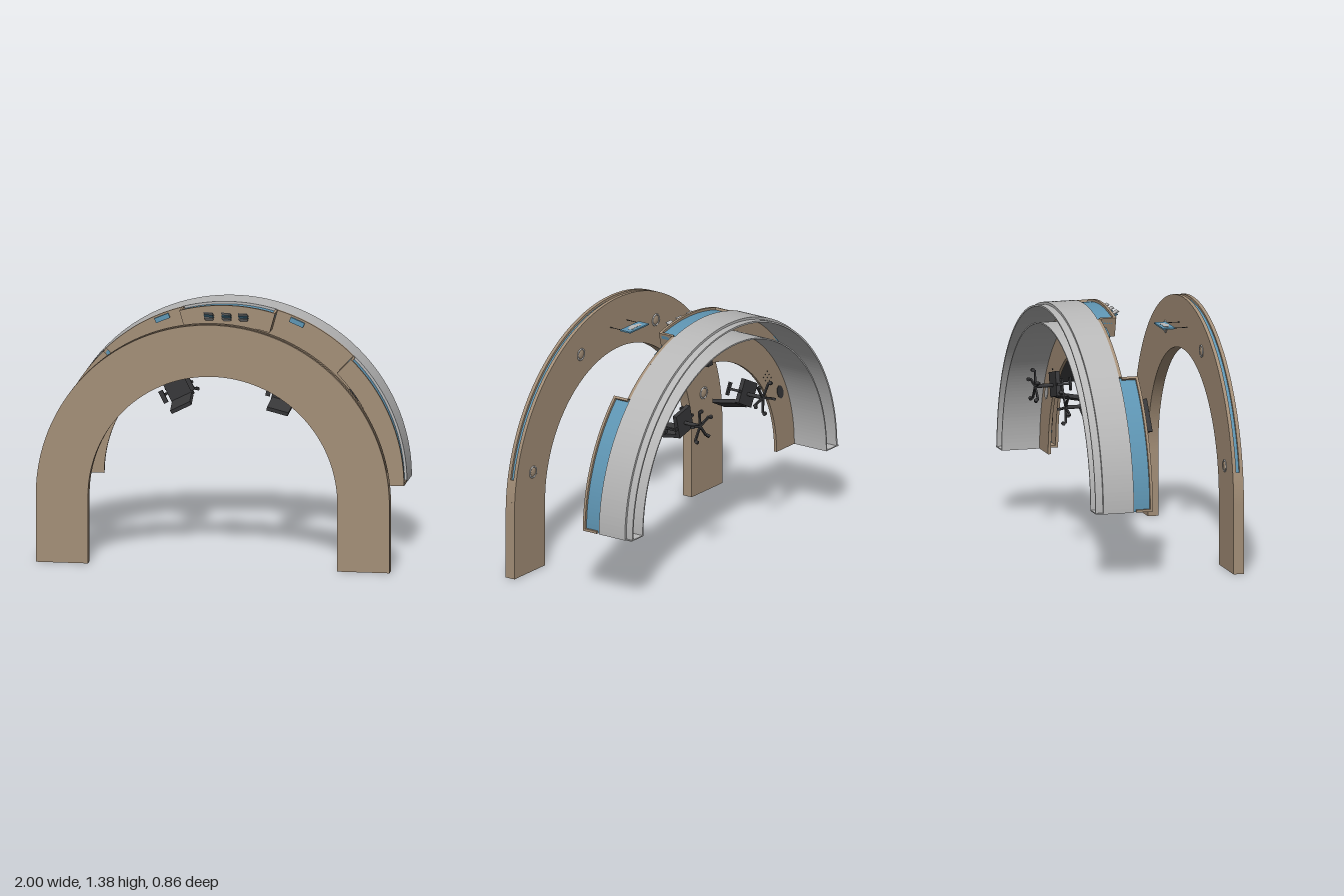
import * as THREE from 'three';

const mat = (name, color) => Object.assign(new THREE.MeshStandardMaterial({ color }), { name });
const D = Math.PI / 180;
const CY = 0.385; // height of the arc centre

export function createModel() {
  const wood = mat('wood', 0xa48f78);
  const blue = mat('blue panel', 0x5f96b4);
  const grey = mat('light grey', 0xb8b8b8);
  grey.side = THREE.DoubleSide;
  const dark = mat('charcoal', 0x38383a);

  const model = new THREE.Group();
  const arc = new THREE.Group(); // everything laid out around the arc centre
  arc.name = 'receptionDesk';
  arc.position.y = CY;
  model.add(arc);

  const add = (parent, name, geo, m, x = 0, y = 0, z = 0) => {
    const mesh = new THREE.Mesh(geo, m);
    mesh.name = name;
    mesh.position.set(x, y, z);
    parent.add(mesh);
    return mesh;
  };
  const box = (parent, name, m, w, h, d, x, y, z) =>
    add(parent, name, new THREE.BoxGeometry(w, h, d), m, x, y, z);
  const extrude = (shape, depth, curveSegments = 64) =>
    new THREE.ExtrudeGeometry(shape, { depth, bevelEnabled: false, curveSegments });

  // Curved slab between two radii, two angles (degrees) and two depths
  const ring = (name, m, r0, r1, z0, z1, a0 = 0, a1 = 180) => {
    const s = new THREE.Shape();
    s.absarc(0, 0, r1, a0 * D, a1 * D, false);
    s.absarc(0, 0, r0, a1 * D, a0 * D, true);
    return add(arc, name, extrude(s, z1 - z0, Math.max(6, Math.ceil((a1 - a0) / 2.8))), m, 0, 0, z0);
  };
  // Group placed on the arc: local x runs outward, local y along the arc
  const polar = (name, r, deg, z) => {
    const g = new THREE.Group();
    g.name = name;
    g.position.set(r * Math.cos(deg * D), r * Math.sin(deg * D), z);
    g.rotation.z = deg * D;
    arc.add(g);
    return g;
  };

  // Canopy: two arched boards with a blue strip set into the rim between them
  const arch = new THREE.Shape();
  arch.moveTo(1, -CY);
  arch.lineTo(1, 0);
  arch.absarc(0, 0, 1, 0, Math.PI, false);
  arch.lineTo(-1, -CY);
  arch.lineTo(-0.705, -CY);
  arch.lineTo(-0.705, 0);
  arch.absarc(0, 0, 0.705, Math.PI, 0, true);
  arch.lineTo(0.705, -CY);
  add(arc, 'canopyFrontBoard', extrude(arch, 0.02), wood, 0, 0, 0.41);
  add(arc, 'canopyBackBoard', extrude(arch, 0.02), wood, 0, 0, 0.37);
  ring('canopyCore', wood, 0.705, 0.972, 0.39, 0.41);
  ring('canopyStrip', blue, 0.972, 0.986, 0.39, 0.41, 11, 169);
  for (const s of [1, -1]) {
    box(arc, 'canopyLegCore', wood, 0.295, CY, 0.02, s * 0.8525, -CY / 2, 0.4);
    ring('canopyRimEnd', wood, 0.972, 1, 0.39, 0.41, s > 0 ? 0 : 169, s > 0 ? 11 : 180);
  }

  // Ceiling lights
  for (const a of [13.7, 64.8, 115.2, 166.3]) {
    const g = polar('ceilingLight', 0.845, a, 0.37);
    add(g, 'lightRim', new THREE.TorusGeometry(0.031, 0.005, 8, 28), grey);
    const lens = add(g, 'lightLens', new THREE.SphereGeometry(0.027, 20, 10), wood);
    lens.scale.z = 0.25;
  }

  // Hanging sign with a cloud on both faces
  box(arc, 'signPlate', blue, 0.18, 0.008, 0.07, 0, 0.845, 0.26);
  for (const s of [1, -1]) {
    const rod = add(arc, 'signRod', new THREE.CylinderGeometry(0.002, 0.002, 0.14, 6), dark, s * 0.078, 0.845, 0.3);
    rod.rotation.x = Math.PI / 2;
    for (const [x, z, r] of [[-0.035, 0.258, 0.016], [0, 0.265, 0.021], [0.034, 0.258, 0.017]]) {
      const puff = add(arc, 'signCloud', new THREE.CylinderGeometry(r, r, 0.002, 18), grey, x, 0.845 + s * 0.0045, z);
      puff.scale.x = 1.3;
    }
  }

  // Desk top and the open channel behind it
  ring('deskTop', wood, 0.71, 0.97, -0.21, -0.193);
  ring('deskRimRight', wood, 0.97, 1, -0.21, -0.193, 45.6, 74.3);
  ring('deskRimLeft', wood, 0.97, 1, -0.21, -0.193, 105.7, 134.4);
  ring('shellOuterWall', grey, 0.985, 1, -0.388, -0.21);
  ring('shellPlinth', grey, 0.976, 0.986, -0.43, -0.21);
  ring('shellInnerWall', grey, 0.88, 0.888, -0.43, -0.21);
  for (const s of [1, -1])
    box(arc, 'shellEnd', grey, 0.115, 0.006, 0.22, s * 0.9375, 0.003, -0.32);

  // Raised counters: cap, blue outer face and end walls
  for (const [a0, a1] of [[0, 45.6], [74.3, 105.7], [134.4, 180]]) {
    ring('counterCap', wood, 0.885, 1, -0.115, -0.1, a0, a1);
    ring('counterFace', blue, 0.965, 0.986, -0.21, -0.115, a0, a1);
    ring('counterEnd', wood, 0.885, 1, -0.195, -0.115, a0, a0 + 0.8);
    ring('counterEnd', wood, 0.885, 1, -0.195, -0.115, a1 - 0.8, a1);
  }

  // Leaflet holders on the middle counter
  for (const x of [-0.1, 0, 0.095]) {
    const g = new THREE.Group();
    g.name = 'leafletHolder';
    g.position.set(x, 0.943, -0.066);
    g.rotation.x = -0.45;
    arc.add(g);
    for (let i = 0; i < 3; i++)
      box(g, 'leaflet', i === 1 ? blue : grey, 0.05, 0.005, 0.068 - i * 0.014, 0, 0.012 - i * 0.011, -i * 0.007);
    box(g, 'holderFoot', grey, 0.04, 0.02, 0.012, 0, -0.006, -0.03);
  }

  // Screens on the desk
  const screen = (r, a, z, w, h, face) => {
    const g = polar('monitor', r, a, z);
    box(g, 'monitorCase', dark, 0.012, w, h, 0, 0, 0);
    box(g, 'monitorPanel', face, 0.004, w * 0.94, h * 0.92, -0.007, 0, 0);
    box(g, 'monitorStand', dark, 0.012, 0.03, z + 0.195, 0.012, 0, -(z + 0.195) / 2);
    box(g, 'monitorFoot', dark, 0.06, 0.08, 0.006, 0.01, 0, -0.19 - z);
    return g;
  };
  screen(0.846, 35, -0.092, 0.2, 0.124, dark);
  screen(0.846, 145, -0.092, 0.2, 0.124, dark);
  screen(0.83, 162, -0.142, 0.13, 0.085, blue);
  for (const a of [85, 91]) {
    const g = screen(0.83, a, -0.152, 0.075, 0.05, blue);
    g.rotation.y = 0.3;
  }

  // Desk accessories, cable openings and fixings
  for (const s of [1, -1]) {
    const at = a => (s > 0 ? a : 180 - a);
    box(polar('tray', 0.975, at(67), -0.187), 'trayPlate', blue, 0.028, 0.085, 0.014, 0, 0, 0);
    const phone = polar('phone', 0.8, at(80), -0.185);
    box(phone, 'phoneBase', dark, 0.05, 0.06, 0.015, 0, 0, 0);
    box(phone, 'phoneHandset', dark, 0.05, 0.016, 0.012, 0, 0.02, 0.013);
    for (const z of [-0.211, -0.192]) {
      const g = polar('cableOpening', 0.82, at(25), z);
      const plate = add(g, 'openingPlate', new THREE.CylinderGeometry(0.024, 0.024, 0.003, 24), s > 0 ? grey : dark);
      plate.rotation.x = Math.PI / 2;
      plate.scale.x = 1.1;
      plate.scale.z = 1.8;
    }
    const keys = polar('keyboard', 0.765, at(35), -0.19);
    box(keys, 'keyboardPlate', dark, 0.045, 0.13, 0.008, 0, 0, 0);
    const pad = polar('fixings', 0.775, at(37), -0.211);
    for (let i = -1; i <= 1; i++)
      for (let j = -1; j <= 1; j++)
        box(pad, 'screwHead', dark, 0.005, 0.005, 0.004, i * 0.022, j * 0.03, 0);
  }
  const device = polar('cardReader', 0.83, 12, -0.175);
  box(device, 'readerBody', dark, 0.03, 0.05, 0.035, 0, 0, 0);
  box(polar('computer', 0.78, 87, -0.25), 'computerCase', dark, 0.08, 0.045, 0.08, 0, 0, 0);

  // Swivel chairs: local x faces the desk, local z points to the canopy
  const chair = (x, y, deg) => {
    const g = new THREE.Group();
    g.name = 'chair';
    g.position.set(x, y - CY, 0);
    g.rotation.z = deg * D;
    arc.add(g);
    box(g, 'seat', dark, 0.14, 0.135, 0.025, 0.005, 0, -0.29);
    const back = box(g, 'backrest', dark, 0.022, 0.125, 0.15, -0.072, 0, -0.2);
    back.rotation.y = -0.18;
    const post = add(g, 'gasLift', new THREE.CylinderGeometry(0.01, 0.012, 0.11, 12), dark, 0, 0, -0.355);
    post.rotation.x = Math.PI / 2;
    for (const s of [1, -1]) {
      box(g, 'armrest', dark, 0.075, 0.026, 0.01, 0, s * 0.085, -0.225);
      box(g, 'armSupport', dark, 0.014, 0.01, 0.07, 0, s * 0.085, -0.262);
      box(g, 'armBracket', dark, 0.014, 0.04, 0.008, 0, s * 0.07, -0.296);
    }
    for (let i = 0; i < 5; i++) {
      const leg = new THREE.Group();
      leg.name = 'baseLeg';
      leg.rotation.z = (i * 72 + 10) * D;
      g.add(leg);
      box(leg, 'spoke', dark, 0.09, 0.013, 0.01, 0.045, 0, -0.405);
      add(leg, 'caster', new THREE.CylinderGeometry(0.011, 0.011, 0.014, 12), dark, 0.092, 0, -0.418);
    }
  };
  chair(-0.305, 0.862, 117);
  chair(0.3, 0.865, 76);

  return model;
}
